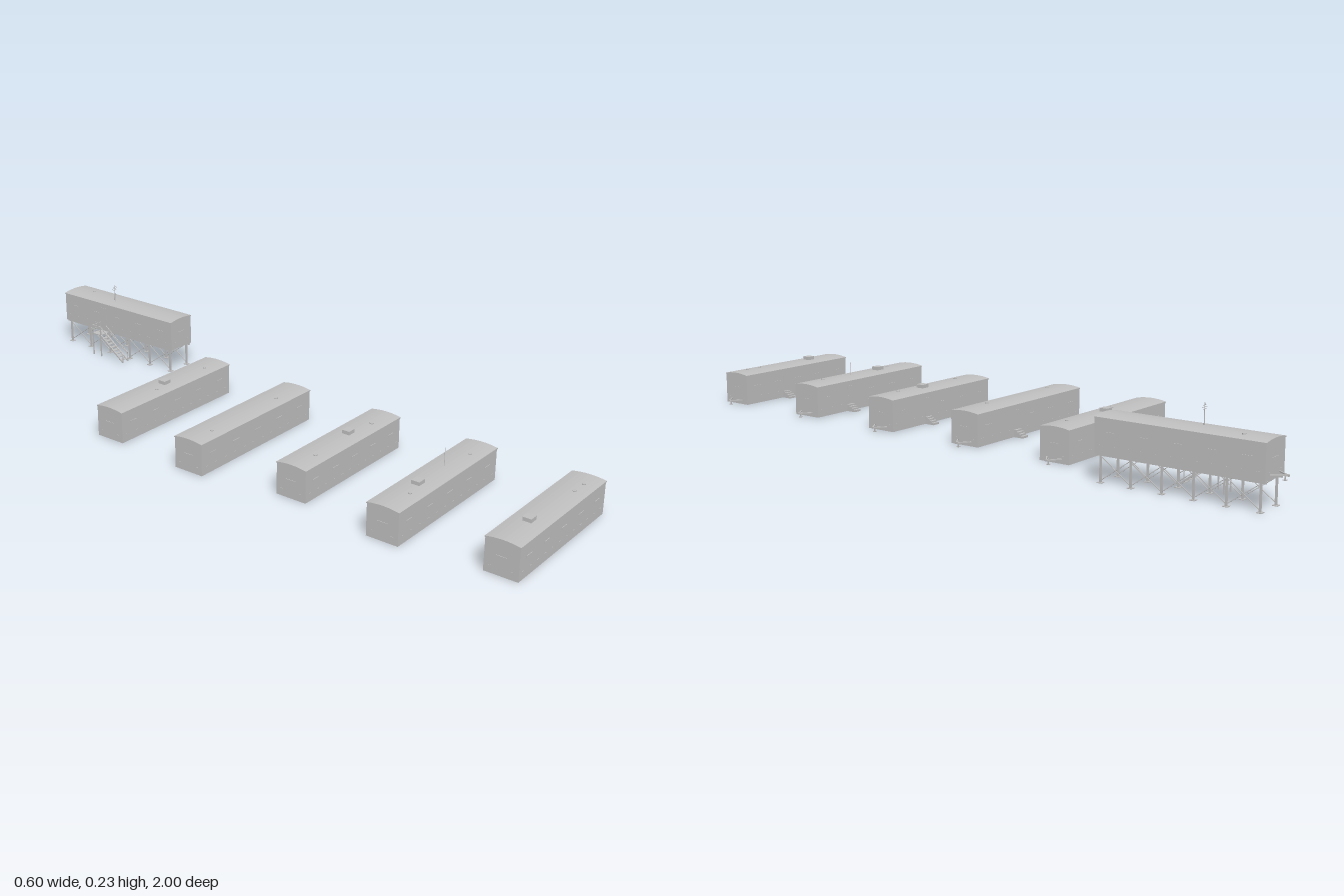
import * as THREE from 'three';

const gray = new THREE.MeshStandardMaterial({ color: 0xbfbfbf, side: THREE.DoubleSide });
gray.name = 'plain gray';

const W = 0.094;      // trailer width
const EAVE = 0.093;   // wall height
const RISE = 0.005;   // roof crown

function add(parent, geometry, name, x = 0, y = 0, z = 0) {
  const mesh = new THREE.Mesh(geometry, gray);
  mesh.name = name;
  mesh.position.set(x, y, z);
  parent.add(mesh);
  return mesh;
}

const box = (parent, name, w, h, d, x, y, z) =>
  add(parent, new THREE.BoxGeometry(w, h, d), name, x, y, z);

// Square bar between two points
function bar(parent, name, a, b, t = 0.003) {
  const from = new THREE.Vector3(...a), to = new THREE.Vector3(...b);
  const mesh = add(parent, new THREE.BoxGeometry(t, t, from.distanceTo(to)), name);
  mesh.position.copy(from).add(to).multiplyScalar(0.5);
  mesh.quaternion.setFromUnitVectors(
    new THREE.Vector3(0, 0, 1), to.sub(from).normalize());
  return mesh;
}

const crown = (z, half) => EAVE + RISE * (1 - (z / half) ** 2);

// Slightly bowed roof slab, extruded along the trailer
function roofGeometry(length) {
  const half = W / 2 + 0.0015, top = [], under = [];
  for (let i = 0; i <= 8; i++) {
    const z = -half + (2 * half * i) / 8;
    top.push(new THREE.Vector2(z, crown(z, half)));
    under.unshift(new THREE.Vector2(z, crown(z, half) - 0.003));
  }
  return new THREE.ExtrudeGeometry(new THREE.Shape([...top, ...under]),
    { depth: length + 0.003, bevelEnabled: false })
    .translate(0, 0, -(length + 0.003) / 2).rotateY(Math.PI / 2);
}

// Trailer with its tow end toward +x and its door on the -z side
function trailer(name, length, { doorX, ac, vents = [], steps = true, floor = false }) {
  const g = new THREE.Group();
  g.name = name;
  const L = length / 2, H = W / 2;

  // Shell: side walls, bowed end walls, roof
  for (const s of [-1, 1]) {
    add(g, new THREE.PlaneGeometry(length, EAVE).rotateY(s > 0 ? 0 : Math.PI),
      'sideWall', 0, EAVE / 2, s * H);
    const end = new THREE.Shape();
    end.moveTo(-H, 0).lineTo(H, 0);
    for (let i = 8; i >= 0; i--) {
      const z = -H + (W * i) / 8;
      end.lineTo(z, crown(z, H) - 0.001);
    }
    add(g, new THREE.ShapeGeometry(end).rotateY(s * Math.PI / 2), 'endWall', s * L);

    // End window, high corner lamps
    box(g, 'endWindow', 0.003, 0.007, 0.03, s * L, 0.05, 0);
    for (const z of [-0.03, 0.03]) box(g, 'endVent', 0.002, 0.003, 0.007, s * L, 0.02, z);

    // Side windows and a row of low vents
    for (let i = 0; i < 5; i++) {
      const x = -L + length * (i + 0.5) / 5;
      if (s < 0 && Math.abs(x - doorX) < 0.03) continue;
      box(g, 'sideWindow', 0.026, 0.006, 0.003, x, 0.055, s * H);
    }
    for (let i = 0; i < 12; i++) {
      const x = -L + length * (i + 0.5) / 12;
      if (s < 0 && Math.abs(x - doorX) < 0.025) continue;
      box(g, 'skirtVent', 0.008, 0.003, 0.002, x, 0.022, s * H);
    }
  }
  add(g, roofGeometry(length), 'roof');
  if (floor) box(g, 'floor', length, 0.003, W, 0, 0.0015, 0);

  // Door and handle
  box(g, 'door', 0.022, 0.055, 0.002, doorX, 0.05, -H);
  box(g, 'doorHandle', 0.003, 0.002, 0.004, doorX + 0.008, 0.048, -H - 0.001);

  // Roof equipment
  if (ac !== undefined) {
    box(g, 'airConditioner', 0.026, 0.011, 0.024, ac, 0.1025, 0);
  }
  for (const x of vents) {
    add(g, new THREE.CylinderGeometry(0.005, 0.005, 0.004, 10), 'roofVent', x, 0.098, 0.015);
  }

  // Tow tongue with coupler and jack
  for (const s of [-1, 1]) bar(g, 'towBar', [L, 0.013, s * 0.024], [L + 0.034, 0.013, 0]);
  box(g, 'towCoupler', 0.008, 0.005, 0.005, L + 0.033, 0.013, 0);
  box(g, 'towJack', 0.003, 0.016, 0.003, L + 0.026, 0.009, 0);
  box(g, 'jackFoot', 0.008, 0.002, 0.008, L + 0.026, 0.001, 0);

  // Door steps
  if (steps) {
    for (let i = 0; i < 4; i++) {
      const h = 0.021 - i * 0.005;
      box(g, 'doorStep', 0.025, h, 0.0078, doorX, h / 2, -H - 0.0039 - i * 0.0078);
    }
  }
  return g;
}

// Supporting frame, landing and stairs for the raised trailer, in world axes
function stilts(cx, zFront, zBack, height) {
  const g = new THREE.Group();
  g.name = 'stiltFrame';
  const X = 0.039, n = 6;
  const zs = Array.from({ length: n }, (_, i) =>
    zFront - 0.014 + (zBack - zFront + 0.028) * i / (n - 1));
  for (const s of [-1, 1]) {
    const x = cx + s * X;
    bar(g, 'floorBeam', [x, height - 0.003, zFront], [x, height - 0.003, zBack], 0.005);
    zs.forEach((z, i) => {
      box(g, 'leg', 0.005, height, 0.005, x, height / 2, z);
      box(g, 'footPlate', 0.014, 0.002, 0.014, x, 0.001, z);
      if (i === n - 1) return;
      bar(g, 'crossBrace', [x, 0.006, z], [x, height - 0.006, zs[i + 1]], 0.0018);
      bar(g, 'crossBrace', [x, height - 0.006, z], [x, 0.006, zs[i + 1]], 0.0018);
    });
  }
  for (const z of zs) {
    bar(g, 'crossBeam', [cx - X, height - 0.003, z], [cx + X, height - 0.003, z], 0.004);
  }

  // Landing with posts and rails
  const x0 = 0.165, x1 = 0.189, zA = -0.81, zB = -0.772, top = height - 0.002;
  box(g, 'landing', 0.203 - x0, 0.003, zB - zA, (0.203 + x0) / 2, top, (zA + zB) / 2);
  for (const z of [zA + 0.002, zB - 0.002]) {
    bar(g, 'landingPost', [x0 + 0.002, 0, z], [x0 + 0.002, top + 0.028, z]);
  }
  bar(g, 'landingPost', [0.2, 0, zA + 0.002], [0.2, top + 0.028, zA + 0.002]);
  for (const h of [0.014, 0.028]) {
    bar(g, 'landingRail', [x0 + 0.002, top + h, zA], [x0 + 0.002, top + h, zB], 0.002);
    bar(g, 'landingRail', [x0, top + h, zA + 0.002], [0.202, top + h, zA + 0.002], 0.002);
  }

  // Stairs descending toward the front
  const zC = -0.677, count = 9;
  for (const x of [x0 + 0.001, x1]) {
    bar(g, 'stairStringer', [x, top, zB], [x, 0.002, zC], 0.004);
    bar(g, 'handrail', [x, top + 0.028, zB], [x, 0.03, zC], 0.002);
    bar(g, 'railPost', [x, 0, zC], [x, 0.03, zC], 0.002);
  }
  for (let i = 1; i < count; i++) {
    const t = i / count;
    box(g, 'stairTread', x1 - x0, 0.002, 0.011, (x0 + x1) / 2,
      top * (1 - t), zB + (zC - zB) * t);
  }
  return g;
}

export function createModel() {
  const model = new THREE.Group();
  model.name = 'trailerCamp';

  // Row of ground trailers: x range, centre z, door x, air conditioner x, roof vents
  const row = [
    [-0.265, 0.175, 0.95, 0.01, -0.14, [0.065, 0.115]],
    [-0.297, 0.175, 0.637, 0.037, -0.14, [-0.2, 0.09]],
    [-0.255, 0.183, 0.325, 0.03, 0.0, [-0.17, 0.09]],
    [-0.301, 0.183, 0.012, 0.008, undefined, [-0.22, 0.065]],
    [-0.281, 0.192, -0.3, 0.013, -0.048, [-0.1, 0.115]],
  ];
  row.forEach(([a, b, z, door, ac, vents], i) => {
    const c = (a + b) / 2;
    const t = trailer('groundTrailer' + (i + 1), b - a, {
      doorX: door - c,
      ac: ac === undefined ? undefined : ac - c,
      vents: vents.map((v) => v - c),
    });
    t.position.set(c, 0, z);
    model.add(t);
  });

  // Whip antenna on the second trailer
  add(model, new THREE.CylinderGeometry(0.0006, 0.0008, 0.055, 6), 'whipAntenna', -0.015, 0.123, 0.637);

  // Raised trailer, tow end toward the back
  const cx = 0.25, zF = -0.498, zB = -0.966, height = 0.075;
  const raised = trailer('raisedTrailer', zF - zB,
    { doorX: 0.06, vents: [0.16], steps: false, floor: true });
  raised.rotation.y = Math.PI / 2;
  raised.position.set(cx, height, (zF + zB) / 2);
  model.add(raised, stilts(cx, zF, zB, height));

  // Antenna mast with crossbars
  const mast = new THREE.Group();
  mast.name = 'antennaMast';
  mast.position.set(0.236, 0.17, -0.77);
  add(mast, new THREE.CylinderGeometry(0.001, 0.0014, 0.057, 8), 'mastPole', 0, 0.0285, 0);
  [[0.051, 0.016], [0.046, 0.022], [0.041, 0.016]].forEach(([y, w]) =>
    box(mast, 'mastCrossbar', w, 0.0012, 0.0012, 0, y, 0));
  model.add(mast);

  return model;
}
